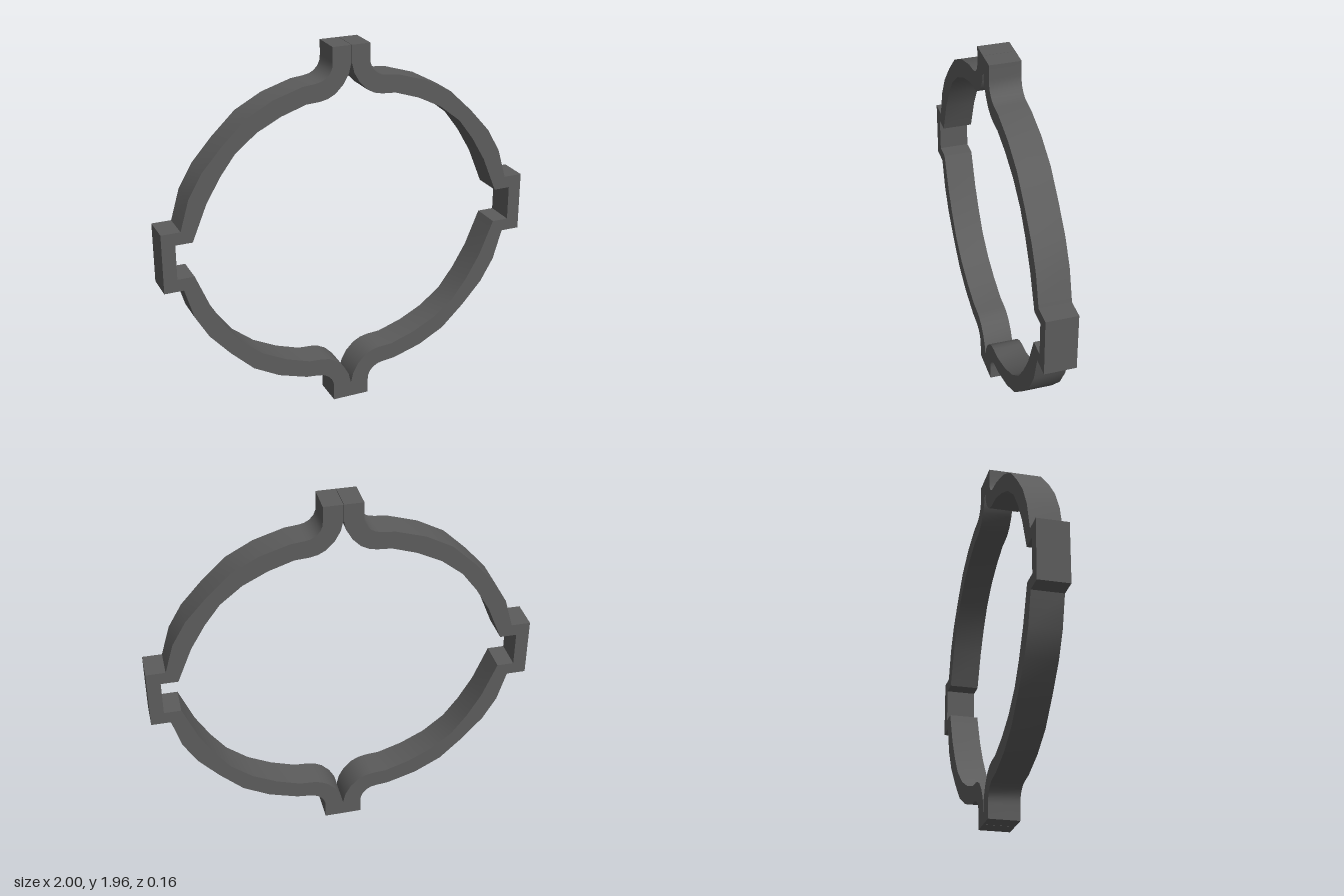
import * as THREE from 'three';
import { toCreasedNormals } from 'three/addons/utils/BufferGeometryUtils.js';

const MID_Y = 0.983; // height of the ring centre
const DEPTH = 0.16;

// Upper-right quarter outlines, measured from the ring centre
const OUTER = [
  [1, 0.157], [0.9, 0.157], [0.853, 0.317], [0.782, 0.44], [0.674, 0.562], [0.551, 0.68],
  [0.412, 0.755], [0.257, 0.803], [0.19, 0.81], [0.16, 0.816], [0.134, 0.83], [0.113, 0.853],
  [0.102, 0.88], [0.1, 0.907], [0.1, 0.982],
];
const INNER = [
  [0.93, 0.092], [0.842, 0.092], [0.765, 0.279], [0.69, 0.407], [0.61, 0.514], [0.497, 0.605],
  [0.37, 0.669], [0.24, 0.712], [0.165, 0.717], [0.125, 0.726], [0.085, 0.747], [0.043, 0.79],
  [0.014, 0.842], [0.001, 0.895],
];

const flip = (points) => points.map(([x, y]) => [x, -y]);

// One half of the clamp: flange, fillet, arc, side bracket, mirrored below
function halfGeometry() {
  const outline = [
    ...flip(OUTER).reverse(), ...OUTER, [0.001, 0.982],
    ...[...INNER].reverse(), ...flip(INNER), [0.001, -0.982],
  ];
  const shape = new THREE.Shape(outline.map(([x, y]) => new THREE.Vector2(x, y)));
  const geometry = new THREE.ExtrudeGeometry(shape, { depth: DEPTH, bevelEnabled: false });
  geometry.translate(0, 0, -DEPTH / 2);
  return toCreasedNormals(geometry, 0.5);
}

export function createModel() {
  const group = new THREE.Group();
  group.name = 'splitRingClamp';
  const steel = new THREE.MeshStandardMaterial({ color: 0x5c5c5c });
  steel.name = 'darkGrey';

  const geometry = halfGeometry();
  ['leftHalfRing', 'rightHalfRing'].forEach((name, i) => {
    const half = new THREE.Mesh(geometry, steel);
    half.name = name;
    half.position.y = MID_Y;
    half.rotation.z = i * Math.PI; // the half is symmetric top to bottom
    group.add(half);
  });
  return group;
}
